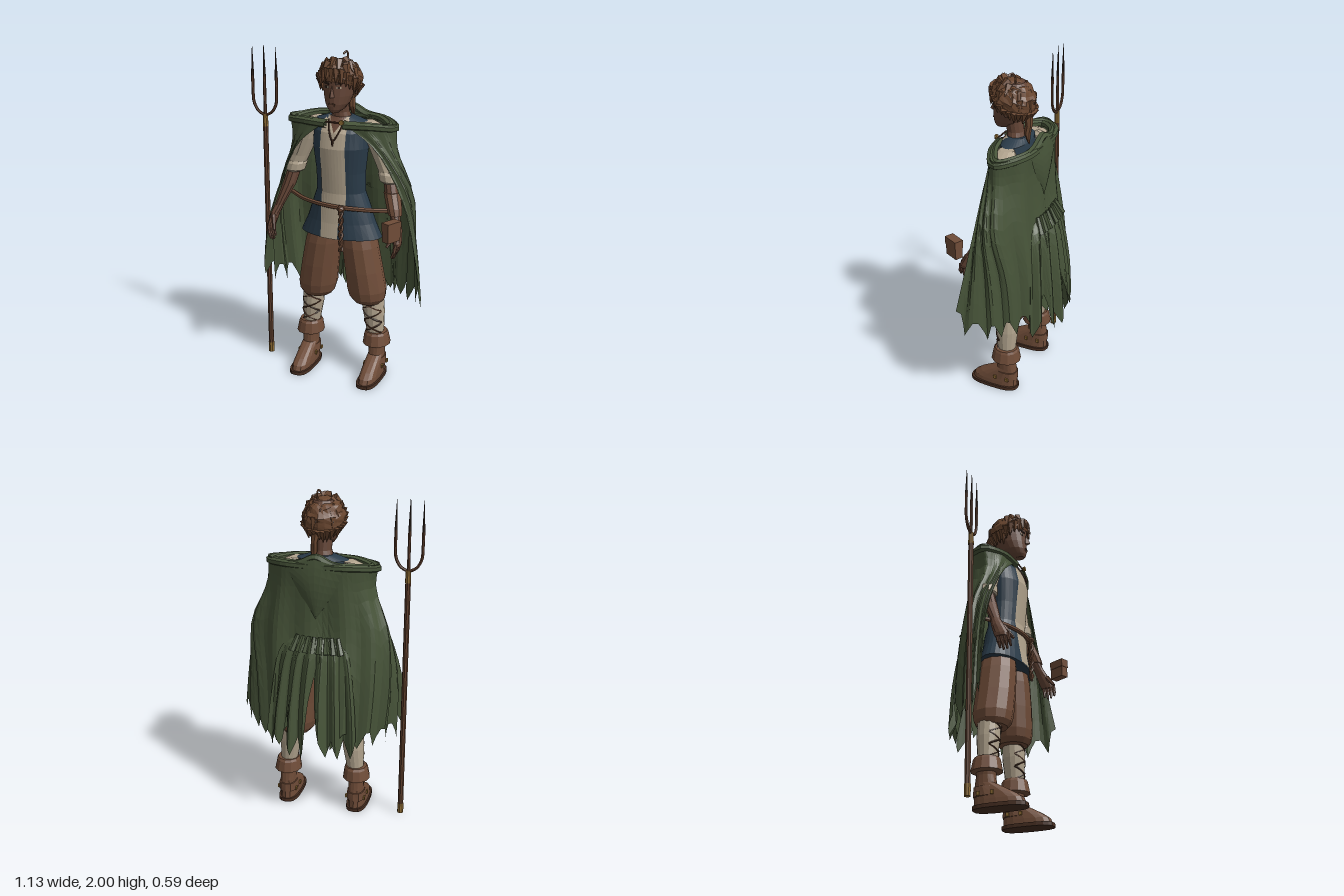
import * as THREE from 'three';

const mat = (name, color) => {
  const m = new THREE.MeshStandardMaterial({ color, flatShading: true, side: THREE.DoubleSide });
  m.name = name;
  return m;
};
const V = (x, y, z) => new THREE.Vector3(x, y, z);

export function createModel() {
  const M = {
    green: mat('cloak green', 0x475439), brown: mat('leather brown', 0x6f4c38),
    skin: mat('skin', 0x634435), hair: mat('hair', 0x69462f), cream: mat('linen', 0xb2a48e),
    blue: mat('tunic blue', 0x2a3b49), dark: mat('dark leather', 0x482f22),
    wood: mat('wood', 0x5f3f2d), gold: mat('brass', 0x8c6a33), iron: mat('iron', 0x35261e),
  };
  const root = new THREE.Group();
  root.name = 'cloakedFarmer';
  const body = new THREE.Group();
  body.name = 'body';
  body.position.x = 0.018;
  root.add(body);

  const add = (name, geo, m, parent = body) => {
    const mesh = new THREE.Mesh(geo, m);
    mesh.name = name;
    parent.add(mesh);
    return mesh;
  };
  // Surface through rows of points, rows running from top to bottom
  const surface = (rows) => {
    const n = rows[0].length, pos = [], idx = [];
    rows.forEach(r => r.forEach(p => pos.push(p.x, p.y, p.z)));
    for (let i = 0; i < rows.length - 1; i++) for (let j = 0; j < n - 1; j++) {
      const a = i * n + j, c = a + n;
      idx.push(a, a + 1, c, a + 1, c + 1, c);
    }
    const g = new THREE.BufferGeometry();
    g.setAttribute('position', new THREE.Float32BufferAttribute(pos, 3));
    g.setIndex(idx);
    g.computeVertexNormals();
    return g;
  };
  // Capped loft through horizontal ovals [x, y, z, rx, rz]
  const loft = (secs, n = 14, pow = 1, s = 1) => {
    const bend = v => Math.sign(v) * Math.abs(v) ** pow;
    const ring = ([x, y, z, rx, rz], k) => Array.from({ length: n + 1 }, (_, j) => {
      const a = j / n * Math.PI * 2;
      return V(s * x + k * rx * bend(Math.cos(a)), y, z + k * rz * bend(Math.sin(a)));
    });
    return surface([ring(secs[0], 0), ...secs.map(q => ring(q, 1)), ring(secs.at(-1), 0)]);
  };
  const rod = (a, b, r0, r1, n = 6) => {
    const d = b.clone().sub(a), g = new THREE.CylinderGeometry(r1, r0, d.length(), n);
    g.applyQuaternion(new THREE.Quaternion().setFromUnitVectors(V(0, 1, 0), d.clone().normalize()));
    const mid = a.clone().add(b).multiplyScalar(0.5);
    return g.translate(mid.x, mid.y, mid.z);
  };
  const tube = (pts, r, seg = 24, n = 6) =>
    new THREE.TubeGeometry(new THREE.CatmullRomCurve3(pts.map(p => V(...p))), seg, r, n);

  // Tunic, with a pale front panel and a bare V at the neck
  const torso = [[0, 1.625, 0.03, 0.075, 0.055], [0, 1.6, 0.03, 0.155, 0.075], [0, 1.54, 0.045, 0.165, 0.1],
    [0, 1.45, 0.05, 0.168, 0.115], [0, 1.3, 0.045, 0.15, 0.108], [0, 1.18, 0.04, 0.15, 0.102],
    [0, 1.1, 0.035, 0.178, 0.115], [0, 1.0, 0.035, 0.212, 0.122], [0, 0.91, 0.035, 0.253, 0.135]];
  add('tunic', loft(torso, 32), M.blue);
  const frontPlate = (secs, left, right, lift) => surface(secs.map(([, y, z, rx, rz]) =>
    Array.from({ length: 9 }, (_, j) => {
      const x = Math.min(left(y), rx * 0.9) * (1 - j / 8) - Math.min(right(y), rx * 0.9) * j / 8;
      return V(x, y, z + rz * Math.sqrt(1 - (x / rx) ** 2) + lift);
    })));
  add('tunicFrontPanel', frontPlate(torso, y => y < 1.05 ? 0.03 : 0.07, y => y < 1.05 ? 0.08 : 0.086, 0.005), M.cream);
  const neckV = y => (y - 1.54) * 0.6;
  add('openNeck', frontPlate(torso.slice(0, 3), neckV, neckV, 0.009), M.skin);
  add('neckCord', tube([[-0.05, 1.61, 0.105], [-0.03, 1.55, 0.147], [0, 1.5, 0.168], [0.03, 1.55, 0.147], [0.05, 1.61, 0.105]], 0.005), M.dark);
  add('pendant', rod(V(0, 1.51, 0.168), V(0, 1.47, 0.174), 0.009, 0.004), M.dark);

  // Belt with a twisted hanging end
  add('belt', tube([[-0.34, 1.11, 0.0], [-0.2, 1.11, 0.105], [0, 1.11, 0.165], [0.2, 1.1, 0.12], [0.35, 1.09, 0.04]], 0.014), M.brown);
  for (const k of [0, Math.PI]) add('beltRope', tube(Array.from({ length: 20 }, (_, i) =>
    [0.055 + 0.009 * Math.cos(i + k), 1.12 - i * 0.0145, 0.178 + 0.009 * Math.sin(i + k)]), 0.008, 40, 5), M.brown);
  add('beltKnot', new THREE.IcosahedronGeometry(0.024, 0).translate(0.055, 1.105, 0.178), M.brown);

  // Limbs, both sides
  for (const s of [-1, 1]) {
    const side = s > 0 ? 'left' : 'right';
    add(side + 'Sleeve', loft([[0.16, 1.6, 0.02, 0.03, 0.045], [0.195, 1.57, 0.02, 0.065, 0.075], [0.225, 1.47, 0.02, 0.064, 0.07],
      [0.27, 1.36, 0.025, 0.058, 0.06], [0.295, 1.3, 0.03, 0.055, 0.058]], 12, 1, s), M.cream);
    add(side + 'SleeveCuff', loft([[0.287, 1.325, 0.03, 0.054, 0.058], [0.292, 1.31, 0.03, 0.063, 0.066],
      [0.3, 1.27, 0.035, 0.06, 0.063], [0.302, 1.26, 0.035, 0.05, 0.054]], 12, 1, s), M.cream);
    add(side + 'Forearm', loft([[0.3, 1.29, 0.03, 0.042, 0.045], [0.328, 1.18, 0.065, 0.042, 0.042], [0.37, 1.06, 0.115, 0.028, 0.03],
      [0.388, 1.01, 0.135, 0.026, 0.038], [0.4, 0.95, 0.16, 0.022, 0.044], [0.402, 0.93, 0.165, 0.018, 0.041]], 10, 1, s), M.skin);
    for (let f = 0; f < 4; f++) {
      const z = 0.137 + f * 0.021, tip = 0.85 + Math.abs(f - 1.4) * 0.012;
      add(side + 'Finger', rod(V(s * 0.402, 0.945, z), V(s * 0.397, 0.9, z + 0.008), 0.012, 0.011), M.skin);
      add(side + 'FingerTip', rod(V(s * 0.397, 0.902, z + 0.008), V(s * 0.382, tip, z + 0.012), 0.011, 0.006), M.skin);
    }
    add(side + 'Thumb', rod(V(s * 0.385, 1.0, 0.165), V(s * 0.355, 0.93, 0.22), 0.016, 0.008), M.skin);

    add(side + 'Breeches', loft([[0.1, 0.95, 0.03, 0.1, 0.1], [0.118, 0.85, 0.03, 0.11, 0.113], [0.142, 0.7, 0.027, 0.115, 0.117],
      [0.16, 0.57, 0.02, 0.12, 0.118], [0.165, 0.52, 0.02, 0.11, 0.108], [0.168, 0.49, 0.018, 0.088, 0.088]], 12, 1, s), M.brown);
    add(side + 'Stocking', loft([[0.192, 0.54, 0.01, 0.068, 0.066], [0.202, 0.42, 0.008, 0.066, 0.068],
      [0.215, 0.27, 0.008, 0.05, 0.054]], 14, 1, s), M.cream);
    // Crossed laces zigzagging around the front of the stocking
    for (const d of [-1, 1]) add(side + 'Lace', tube(Array.from({ length: 31 }, (_, i) => {
      const t = i / 30, zig = Math.asin(Math.cos(t * Math.PI * 3)) / (Math.PI / 2), a = Math.PI / 2 + d * 1.2 * zig;
      return [s * (0.193 + 0.021 * t) + (0.07 - 0.015 * t) * Math.cos(a), 0.51 - 0.22 * t, 0.009 + (0.07 - 0.012 * t) * Math.sin(a)];
    }), 0.005, 60, 4), M.dark);

    add(side + 'BootCuff', loft([[0.22, 0.295, 0.008, 0.066, 0.07], [0.22, 0.28, 0.008, 0.073, 0.08],
      [0.222, 0.215, 0.008, 0.085, 0.092], [0.222, 0.208, 0.008, 0.06, 0.064]], 12, 1, s), M.brown);
    add(side + 'Boot', loft([[0.222, 0.25, 0.006, 0.054, 0.06], [0.222, 0.19, 0.004, 0.046, 0.054], [0.222, 0.145, 0.004, 0.046, 0.06],
      [0.222, 0.12, 0.025, 0.049, 0.085], [0.222, 0.08, 0.06, 0.053, 0.122], [0.222, 0.05, 0.08, 0.056, 0.143],
      [0.222, 0.018, 0.086, 0.057, 0.151]], 16, 0.8, s), M.brown);
    add(side + 'Sole', loft([[0.222, 0.022, 0.087, 0.066, 0.158], [0.222, 0, 0.087, 0.066, 0.158]], 20, 0.7, s), M.dark);
    add(side + 'BootStrap', loft([[0.222, 0.125, 0.002, 0.054, 0.068], [0.222, 0.07, 0.02, 0.058, 0.088]], 12, 0.85, s), M.brown);
    for (const e of [-1, 1]) for (const z of [-0.02, 0.06])
      add(side + 'BootBuckle', new THREE.BoxGeometry(0.009, 0.022, 0.018).translate(s * 0.222 + e * 0.058, 0.082, z), M.gold);
  }
  // Bracer and pouch on the left arm
  add('bracer', loft([[0.322, 1.21, 0.058, 0.049, 0.05], [0.35, 1.13, 0.09, 0.046, 0.047], [0.362, 1.09, 0.105, 0.04, 0.04]], 10), M.brown);
  const pouch = new THREE.Group();
  pouch.name = 'pouch';
  pouch.position.set(0.41, 1.04, 0.245);
  pouch.rotation.y = -0.45;
  root.add(pouch);
  add('pouchBag', new THREE.BoxGeometry(0.048, 0.11, 0.094), M.brown, pouch);
  add('pouchFlap', new THREE.BoxGeometry(0.054, 0.05, 0.1).translate(0, 0.034, 0), M.brown, pouch);

  // Head and face
  add('neck', loft([[0, 1.74, 0.06, 0.052, 0.055], [0, 1.65, 0.045, 0.048, 0.05], [0, 1.59, 0.035, 0.07, 0.06]]), M.skin);
  add('head', loft([[0, 1.94, 0.06, 0.06, 0.07], [0, 1.87, 0.06, 0.092, 0.115], [0, 1.8, 0.065, 0.09, 0.108], [0, 1.755, 0.075, 0.083, 0.1],
    [0, 1.71, 0.092, 0.068, 0.084], [0, 1.68, 0.11, 0.046, 0.062], [0, 1.66, 0.128, 0.022, 0.036]], 18), M.skin);
  add('nose', new THREE.ConeGeometry(0.02, 0.065, 4).scale(0.8, 1, 1.4).translate(0, 1.785, 0.175), M.skin);
  add('mouth', new THREE.BoxGeometry(0.036, 0.008, 0.008).translate(0, 1.713, 0.174), M.dark);
  add('lowerLip', new THREE.BoxGeometry(0.028, 0.01, 0.012).translate(0, 1.704, 0.169), M.skin);
  for (const s of [-1, 1]) {
    const plate = (name, w, h, y, z, m) => {
      const p = add(name, new THREE.BoxGeometry(w, h, 0.006), m);
      p.position.set(s * 0.037, y, z);
      p.rotation.y = s * 0.4;
      return p;
    };
    plate('eye', 0.028, 0.011, 1.806, 0.163, M.cream);
    plate('iris', 0.013, 0.012, 1.806, 0.165, M.iron);
    plate('eyebrow', 0.04, 0.009, 1.828, 0.166, M.iron).rotation.z = s * 0.15;
    add('ear', new THREE.IcosahedronGeometry(0.028, 0).scale(0.5, 1.1, 0.8).translate(s * 0.094, 1.785, 0.055), M.skin);
  }

  // Tousled hair: lumpy cap, locks, nape tail and a stray curl
  const cap = new THREE.SphereGeometry(1, 20, 10, 0, Math.PI * 2, 0, Math.PI * 0.64);
  const cp = cap.attributes.position;
  for (let i = 0; i < cp.count; i++) {
    const x = cp.getX(i), y = cp.getY(i), z = cp.getZ(i);
    const k = 1 + 0.04 * Math.sin(9 * x + 2) * Math.cos(8 * z) + 0.03 * Math.sin(11 * y + 5 * z);
    cp.setXYZ(i, x * k * 0.125, y * k * 0.113, z * k * 0.132);
  }
  cap.rotateX(-0.4).translate(0, 1.838, 0.056);
  cap.computeVertexNormals();
  add('hairCap', cap, M.hair);
  let seed = 7;
  const rnd = () => (seed = (seed * 16807) % 2147483647) / 2147483647;
  for (let k = 0; k < 56; k++) {
    const low = k < 28, a = (low ? k / 28 : rnd()) * Math.PI * 2;
    const p = low ? 1.95 - 0.55 * Math.max(0, Math.sin(a)) : 0.5 + rnd() * 0.9;
    const tilt = Math.sin(a) * 0.035 * Math.sin(p);
    const at = (q, r) => V(0.125 * r * Math.sin(q) * Math.cos(a), 1.838 + tilt + 0.112 * r * Math.cos(q), 0.056 + 0.13 * r * Math.sin(q) * Math.sin(a));
    const lift = (low ? 0.12 : 0.02) * rnd();
    add('hairLock', rod(at(p - 0.2, 0.93), at(p + 0.35 + rnd() * 0.25, 1.02 + lift), 0.026, 0.002, 5), M.hair);
  }
  add('napeTail', loft([[0.02, 1.78, -0.04, 0.03, 0.03], [0.028, 1.71, -0.05, 0.02, 0.022], [0.03, 1.66, -0.042, 0.022, 0.02],
    [0.035, 1.6, -0.055, 0.004, 0.004]], 7), M.hair);
  add('strayCurl', tube([[0.03, 1.92, 0.03], [0.034, 1.975, 0.03], [0.03, 1.99, 0.045], [0.02, 1.975, 0.06]], 0.006, 12, 5), M.hair);

  // Cloak sheets: plan curves [x, z] at several heights, pleated, with a ragged hem
  const cloth = (name, levels, cols, pleats, amp, reach) => {
    const curves = levels.map(([y, p]) => new THREE.CatmullRomCurve3(p.map(([x, z]) => V(x, y, z))));
    const rows = Array.from({ length: 13 }, () => []);
    for (let j = 0; j <= cols; j++) {
      const u = j / cols, drop = new THREE.CatmullRomCurve3(curves.map(c => c.getPoint(u)));
      rows.forEach((row, i) => {
        const t = i / 12 * reach(u, j), q = drop.getPoint(t);
        const n = V(q.x - 0.02, 0, 3 * q.z).normalize();
        row.push(q.addScaledVector(n, amp * Math.min(1, t * 1.3) * Math.sin(u * pleats * Math.PI * 2)));
      });
    }
    add(name, surface(rows), M.green, root);
  };
  const notch = (u, c, w, d) => d * Math.max(0, 1 - Math.abs(u - c) / w);
  cloth('cloak', [
    [1.6, [[-0.04, 0.13], [-0.2, 0.1], [-0.32, 0.02], [-0.2, -0.11], [0.01, -0.135], [0.23, -0.11], [0.345, 0.02], [0.22, 0.1], [0.065, 0.13]]],
    [1.45, [[-0.22, 0.115], [-0.26, 0.09], [-0.295, 0.02], [-0.21, -0.1], [0.01, -0.13], [0.24, -0.1], [0.35, 0.02], [0.31, 0.08], [0.26, 0.11]]],
    [1.2, [[-0.35, 0.08], [-0.37, 0.04], [-0.375, -0.02], [-0.24, -0.11], [0.01, -0.135], [0.26, -0.12], [0.44, -0.01], [0.45, 0.05], [0.41, 0.11]]],
    [0.9, [[-0.45, 0.08], [-0.43, 0.03], [-0.39, -0.05], [-0.25, -0.15], [0.01, -0.18], [0.26, -0.15], [0.41, -0.06], [0.48, 0.03], [0.51, 0.14]]],
    [0.47, [[-0.5, 0.085], [-0.43, 0.01], [-0.36, -0.08], [-0.24, -0.18], [0.01, -0.23], [0.26, -0.17], [0.39, -0.08], [0.5, 0.01], [0.6, 0.205]]],
  ], 60, 10, 0.014, (u, j) => 0.985 - 0.06 * Math.abs(j % 5 - 2) / 2 - 0.06 * Math.abs(2 * u - 1) ** 6 - notch(u, 0.5, 0.05, 0.3));
  cloth('gatheredBackPanel', [
    [1.17, [[-0.13, -0.12], [0.0, -0.15], [0.13, -0.125]]],
    [1.1, [[-0.18, -0.14], [0.01, -0.195], [0.22, -0.15]]],
    [0.8, [[-0.23, -0.175], [0.03, -0.245], [0.28, -0.175]]],
    [0.44, [[-0.25, -0.19], [0.03, -0.275], [0.32, -0.19]]],
  ], 48, 6, 0.022, (u, j) => 0.99 - 0.1 * Math.abs(j % 6 - 3) / 3 - notch(u, 0.46, 0.08, 0.45) - notch(u, 0.78, 0.05, 0.2));
  // Gathers along the top of the back panel
  for (let k = 0; k < 8; k++) {
    const x = -0.12 + k * 0.034, z = -0.15 - 0.025 * (1 - (x / 0.16) ** 2);
    add('gather', rod(V(x, 1.18, z + 0.02), V(x * 1.25, 1.09, z - 0.018), 0.012, 0.02, 5), M.green, root);
  }

  // Rolled collar, hood hanging behind, and clasp
  const collar = (k, y, r) => tube([[-0.04, 0.13], [-0.2, 0.1], [-0.32, 0.02], [-0.2, -0.105], [0.01, -0.13], [0.23, -0.105], [0.345, 0.02], [0.22, 0.1], [0.065, 0.13]]
    .map(([x, z]) => [0.01 + (x - 0.01) * k, y + Math.max(0, -z) * 0.08 - (Math.abs(x) > 0.3 ? 0.012 : 0), z * k]), r, 40, 6);
  add('collarOuterRoll', collar(0.98, 1.583, 0.022), M.green, root);
  add('collarInnerRoll', collar(0.87, 1.588, 0.02), M.green, root);
  add('hoodRoll', tube([[-0.16, 1.59, -0.11], [-0.07, 1.605, -0.115], [0.018, 1.642, -0.118], [0.105, 1.605, -0.115], [0.19, 1.59, -0.11]], 0.024), M.green, root);
  add('hood', surface(Array.from({ length: 9 }, (_, i) => Array.from({ length: 9 }, (_, j) => {
    const t = i / 8, a = 1 - j / 4;
    return V(0.015 - a * 0.17 * (1 - t ** 1.3), 1.64 - 0.36 * t - 0.045 * Math.abs(a) * (1 - t),
      -0.13 - 0.028 * (1 - a * a) * Math.sin(Math.PI * (0.15 + 0.8 * t)));
  }))), M.green, root);
  add('claspBar', rod(V(-0.04, 1.6, 0.135), V(0.065, 1.6, 0.135), 0.005, 0.005), M.dark, root);
  add('clasp', new THREE.CylinderGeometry(0.015, 0.015, 0.012, 8).rotateX(Math.PI / 2).translate(0.062, 1.605, 0.145), M.gold, root);

  // Pitchfork
  const fork = new THREE.Group();
  fork.name = 'pitchfork';
  fork.position.set(-0.487, 0, 0.015);
  root.add(fork);
  add('pole', rod(V(0, 0.03, 0), V(0, 1.54, 0), 0.017, 0.016, 8), M.wood, fork);
  add('buttFerrule', rod(V(0, 0, 0), V(0, 0.065, 0), 0.019, 0.019, 8), M.gold, fork);
  add('neckFerrule', rod(V(0, 1.5, 0), V(0, 1.575, 0), 0.018, 0.015, 8), M.gold, fork);
  add('middleTine', rod(V(0, 1.56, 0), V(0, 1.8, 0), 0.01, 0.009), M.wood, fork);
  add('middleTip', rod(V(0, 1.8, 0), V(0, 1.99, 0), 0.009, 0.001), M.iron, fork);
  for (const s of [-1, 1]) {
    add('sideTine', tube([[0, 1.565, 0], [s * 0.045, 1.59, 0], [s * 0.073, 1.64, 0], [s * 0.078, 1.72, 0], [s * 0.078, 1.8, 0]], 0.009, 16), M.wood, fork);
    add('sideTip', rod(V(s * 0.078, 1.8, 0), V(s * 0.076, 1.975, 0), 0.009, 0.001), M.iron, fork);
  }
  return root;
}
